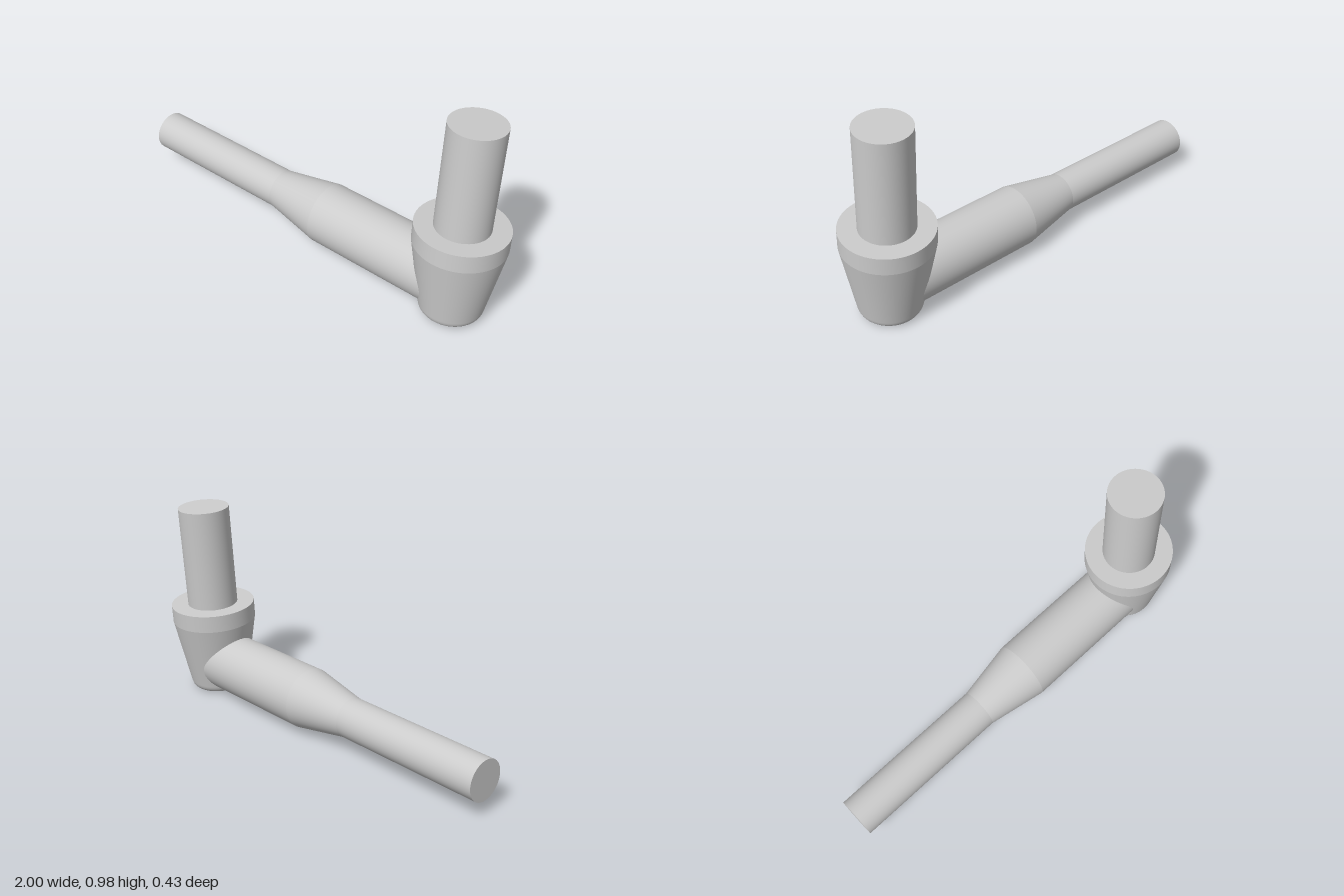
import * as THREE from 'three';
import { mergeGeometries } from 'three/addons/utils/BufferGeometryUtils.js';

const material = new THREE.MeshStandardMaterial({ color: 0xcccccc });

// Turned part: each section is a smooth [radius, height] profile; section joins stay sharp.
function turned(name, sections) {
  const lathes = sections.map((section) =>
    new THREE.LatheGeometry(section.map(([r, y]) => new THREE.Vector2(r, y)), 72));
  const mesh = new THREE.Mesh(mergeGeometries(lathes), material);
  mesh.name = name;
  return mesh;
}

export function createModel() {
  const model = new THREE.Group();
  model.name = 'pinFitting';

  // Slightly tilted head: tapered socket with a collar, and a pin on top
  const head = new THREE.Group();
  head.name = 'head';
  const fillet = new THREE.QuadraticBezierCurve(
    new THREE.Vector2(0.108, 0), new THREE.Vector2(0.143, 0), new THREE.Vector2(0.15, 0.04),
  ).getPoints(10).map((p) => [p.x, p.y]);
  head.add(
    turned('socket', [
      [[0, 0], ...fillet, [0.211, 0.376]],
      [[0.211, 0.376], [0.211, 0.461]],
      [[0.211, 0.461], [0, 0.461]],
    ]),
    turned('pin', [
      [[0.126, 0.44], [0.126, 0.967]],
      [[0.126, 0.967], [0, 0.967]],
    ]),
  );
  head.position.set(0.789, 0.01, 0.031);
  head.rotation.x = THREE.MathUtils.degToRad(-4);
  model.add(head);

  // Horizontal arm: thin rod widening into a thick sleeve that ends inside the socket
  const arm = turned('arm', [
    [[0, -1], [0.096, -1]],
    [[0.096, -1], [0.096, -0.22]],
    [[0.096, -0.22], [0.148, 0.065]],
    [[0.148, 0.065], [0.148, 0.78]],
    [[0.148, 0.78], [0, 0.78]],
  ]);
  arm.rotation.z = -Math.PI / 2;
  arm.position.set(0, 0.164, 0.016);
  model.add(arm);

  return model;
}
